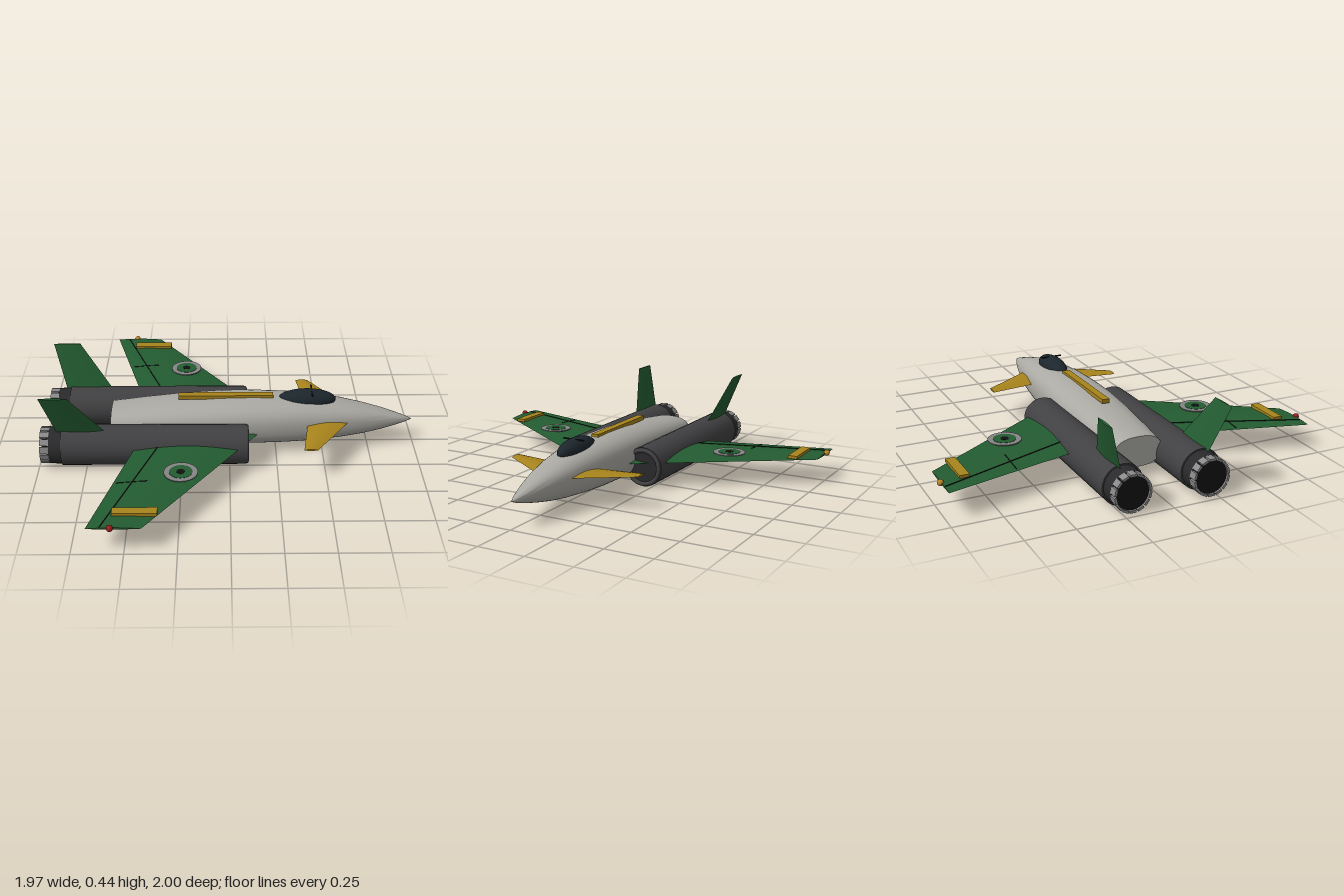
import * as THREE from 'three';
import { toCreasedNormals } from 'three/addons/utils/BufferGeometryUtils.js';

const V = (x, y, z) => new THREE.Vector3(x, y, z);
const paint = (color) => new THREE.MeshStandardMaterial({ color });
const MAT = {
  hull: paint(0xaaa9a3), green: paint(0x235c31), dark: paint(0x414143), nozzle: paint(0x2a2a2c),
  petal: paint(0x8a8a8a), yellow: paint(0xa8841c), glass: paint(0x1c262c), black: paint(0x101211),
  ring: paint(0x858585), red: paint(0xa01c1c), amber: paint(0xc08a28),
};

// Skin over closed cross-sections, capped at both ends and wound outwards
function loft(sections) {
  const n = sections[0].length;
  const pts = sections.flat();
  const tris = [];
  for (let s = 0; s < sections.length - 1; s++) {
    for (let i = 0; i < n; i++) {
      const a = s * n + i, b = s * n + (i + 1) % n;
      tris.push([a, b, b + n], [a, b + n, a + n]);
    }
  }
  [0, sections.length - 1].forEach((s, end) => {
    const c = pts.length;
    pts.push(sections[s].reduce((sum, p) => sum.add(p), V(0, 0, 0)).divideScalar(n));
    for (let i = 0; i < n; i++) {
      const a = s * n + i, b = s * n + (i + 1) % n;
      tris.push(end ? [a, b, c] : [b, a, c]);
    }
  });
  const mid = V(0, 0, 0);
  pts.forEach((p) => mid.addScaledVector(p, 1 / pts.length));
  let volume = 0;
  for (const [a, b, c] of tris) {
    const [p, q, r] = [a, b, c].map((k) => pts[k].clone().sub(mid));
    volume += p.dot(q.cross(r));
  }
  const geo = new THREE.BufferGeometry().setFromPoints(pts);
  geo.setIndex(tris.flatMap(([a, b, c]) => (volume < 0 ? [a, c, b] : [a, b, c])));
  return toCreasedNormals(geo, 0.6);
}

// Lens-shaped section from leading edge a to trailing edge b
function foil(a, b, t, up) {
  const N = 10, out = [];
  for (let i = 0; i < 2 * N; i++) {
    const f = i <= N ? i / N : 2 - i / N;
    const h = Math.sin(Math.PI * f) * t * (i <= N ? 1 : -0.7);
    out.push(a.clone().lerp(b, f).addScaledVector(up, h));
  }
  return out;
}

// Wing planform: leading and trailing edge as functions of span
const lead = (z) => 0.255 - 0.684 * z;
const trail = (z) => -0.416 - 0.264 * z;
const thick = (z) => 0.029 - 0.023 * z;
const wingTop = (x, z) => 0.138 + thick(z) * Math.sin(Math.PI * (lead(z) - x) / (lead(z) - trail(z)));

export function createModel() {
  const model = new THREE.Group();
  model.name = 'jetAircraft';

  const add = (name, geo, mat, x = 0, y = 0, z = 0) => {
    const mesh = new THREE.Mesh(geo, mat);
    mesh.name = name;
    mesh.position.set(x, y, z);
    model.add(mesh);
    return mesh;
  };
  const box = (name, mat, x, y, z, w, h, d) => add(name, new THREE.BoxGeometry(w, h, d), mat, x, y, z);
  // Cylinder lying along x, from x0 to x1
  const barrel = (name, mat, r0, r1, x0, x1, y, z) =>
    add(name, new THREE.CylinderGeometry(r1, r0, x1 - x0, 24).rotateZ(-Math.PI / 2), mat, (x0 + x1) / 2, y, z);
  // Thin strip between two points
  const strip = (name, a, b) => {
    const m = add(name, new THREE.BoxGeometry(0.005, 0.004, a.distanceTo(b)), MAT.black);
    m.position.copy(a).lerp(b, 0.5);
    m.lookAt(b);
  };

  // Fuselage stations: x, half width, bottom, top
  const stations = [
    [-0.63, 0.13, 0.065, 0.225], [-0.45, 0.145, 0.052, 0.247], [-0.25, 0.157, 0.04, 0.268],
    [-0.05, 0.163, 0.035, 0.282], [0.12, 0.159, 0.034, 0.286], [0.3, 0.148, 0.036, 0.282],
    [0.45, 0.133, 0.043, 0.271], [0.6, 0.111, 0.056, 0.251], [0.72, 0.086, 0.072, 0.226],
    [0.82, 0.06, 0.091, 0.2], [0.9, 0.036, 0.111, 0.174], [0.95, 0.018, 0.125, 0.157],
    [0.985, 0.001, 0.139, 0.141],
  ];
  const power = (v) => Math.sign(v) * Math.abs(v) ** 0.8;
  add('fuselage', loft(stations.map(([x, w, lo, hi]) => Array.from({ length: 32 }, (_, i) => {
    const a = (i / 32) * Math.PI * 2;
    return V(x, (lo + hi) / 2 + power(Math.sin(a)) * (hi - lo) / 2, power(Math.cos(a)) * w);
  }))), MAT.hull);

  // Canopy, its frame and the spine stripe
  add('canopy', new THREE.SphereGeometry(1, 32, 20).scale(0.155, 0.056, 0.06), MAT.glass, 0.415, 0.265, 0);
  box('canopyFrame', MAT.black, 0.44, 0.316, 0, 0.008, 0.006, 0.12);
  box('spineStripe', MAT.yellow, -0.018, 0.286, 0, 0.505, 0.022, 0.04);

  for (const s of [1, -1]) {
    const side = s > 0 ? 'right' : 'left';
    const up = V(0, 1, 0);

    // Main wing
    add(side + 'Wing', loft([0.13, 0.4, 0.7, 0.98].map((z) =>
      foil(V(lead(z), 0.138, s * z), V(trail(z), 0.138, s * z), thick(z), up))), MAT.green);

    // Control surface seams, following the wing skin
    const hinge = (z) => -0.268 - 0.35 * z;
    const on = (x, z) => V(x, wingTop(x, z) + 0.001, s * z);
    for (const [z0, z1] of [[0.3, 0.64], [0.64, 0.975]]) {
      strip(side + 'FlapSeam', on(hinge(z0), z0), on(hinge(z1), z1));
    }
    strip(side + 'FlapSplit', on(-0.56, 0.61), on(-0.41, 0.61));

    // Round wing marking made of stacked discs
    [[0.085, MAT.ring], [0.058, MAT.green], [0.021, MAT.black]].forEach(([r, mat], i) =>
      add(side + 'WingDisc', new THREE.CylinderGeometry(r, r, 0.005, 32), mat, -0.245, 0.163 + i * 0.0015, s * 0.55));

    // Wing tip band and light
    box(side + 'WingBand', MAT.yellow, -0.453, 0.152, s * 0.867, 0.215, 0.016, 0.05);
    add(side + 'TipLight', new THREE.SphereGeometry(0.016, 16, 12), s > 0 ? MAT.red : MAT.amber, -0.56, 0.143, s * 0.984);

    // Canard
    add(side + 'Canard', loft([
      foil(V(0.645, 0.175, s * 0.08), V(0.42, 0.175, s * 0.08), 0.014, up),
      foil(V(0.45, 0.175, s * 0.373), V(0.38, 0.175, s * 0.373), 0.006, up),
    ]), MAT.yellow);

    // Outward-leaning tail fin
    const across = V(0, -0.3, s * 0.95);
    add(side + 'Fin', loft([
      foil(V(-0.635, 0.19, s * 0.228), V(-0.895, 0.19, s * 0.228), 0.011, across),
      foil(V(-0.82, 0.445, s * 0.31), V(-0.965, 0.445, s * 0.31), 0.007, across),
    ]), MAT.green);

    // Engine nacelle with intake lip
    const y = 0.113, z = s * 0.208;
    barrel(side + 'Nacelle', MAT.dark, 0.107, 0.105, -0.875, 0.085, y, z);
    add(side + 'IntakeLip', new THREE.TorusGeometry(0.091, 0.012, 10, 32).rotateY(Math.PI / 2), MAT.dark, 0.088, y, z);
    barrel(side + 'IntakeFace', MAT.nozzle, 0.082, 0.082, 0.08, 0.088, y, z);

    // Exhaust nozzle ringed by petals
    barrel(side + 'Nozzle', MAT.nozzle, 0.096, 0.1, -0.945, -0.87, y, z);
    barrel(side + 'ExhaustCore', MAT.black, 0.084, 0.088, -0.975, -0.94, y, z);
    for (let i = 0; i < 14; i++) {
      const a = (i / 14) * Math.PI * 2;
      const petal = box(side + 'NozzlePetal', MAT.petal, -0.962, y + Math.cos(a) * 0.09, z + Math.sin(a) * 0.09, 0.046, 0.012, 0.034);
      petal.rotation.x = a;
    }
  }
  return model;
}
